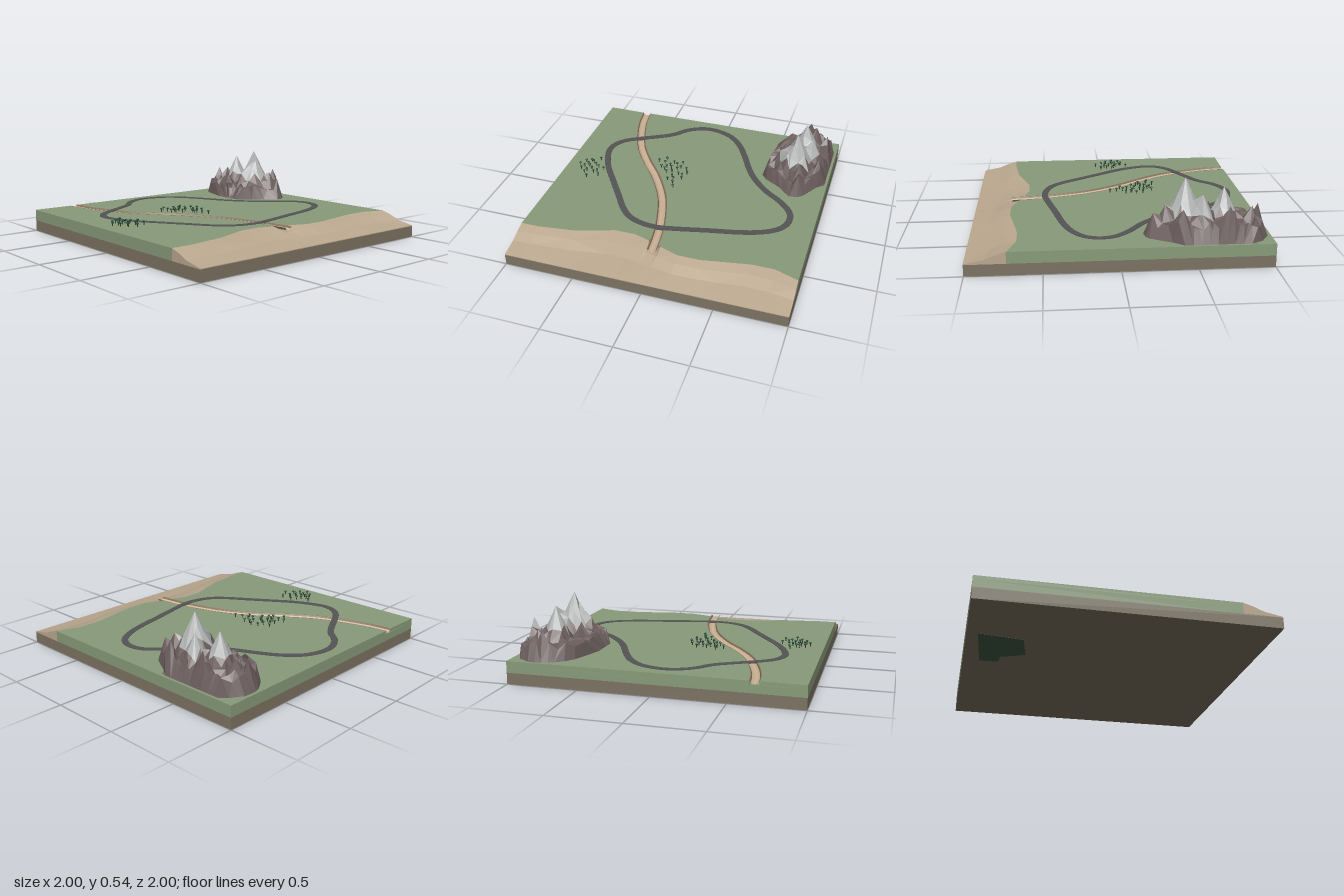
import * as THREE from 'three';

const mat = (color) => new THREE.MeshStandardMaterial({ color, flatShading: true, side: THREE.DoubleSide });
const MAT = {
  earth: mat(0x7c7362), grass: mat(0x879b79), sand: mat(0xbba88f), bank: mat(0x8a7460), bed: mat(0xcdb496),
  road: mat(0x565556), rock: mat(0x6e6160), snow: mat(0xb4b6b6), leaf: mat(0x1f4a38), trunk: mat(0x3a3a2c), patch: mat(0x3f5a43),
};
const GROUND = 0.16;

let seed = 7;
const rand = () => (seed = (seed * 16807) % 2147483647) / 2147483647;
const V = (x, y, z) => new THREE.Vector3(x, y, z);

function add(group, name, geometry, material) {
  const mesh = new THREE.Mesh(geometry, material);
  mesh.name = name;
  group.add(mesh);
  return mesh;
}

// Faceted geometry from a list of triangle corners
function facets(points) {
  const g = new THREE.BufferGeometry().setFromPoints(points);
  g.computeVertexNormals();
  return g;
}

// Triangles of a surface through rows of points
function skin(rows) {
  const out = [];
  for (let i = 0; i < rows.length - 1; i++) {
    for (let j = 0; j < rows[i].length - 1; j++) {
      const a = rows[i][j], b = rows[i + 1][j], c = rows[i + 1][j + 1], d = rows[i][j + 1];
      if ((i + j) % 2) out.push(a, b, c, a, c, d);
      else out.push(a, b, d, b, c, d);
    }
  }
  return out;
}

// Sweep a [sideways, height] section along a flat curve
function sweep(curve, steps, section) {
  const rows = [];
  for (let i = 0; i <= steps; i++) {
    const p = curve.getPointAt(i / steps), t = curve.getTangentAt(i / steps);
    rows.push(section.map(([s, y]) => V(Math.max(-1, p.x + t.z * s), y, p.z - t.x * s)));
  }
  return rows;
}

// Upright slab from an outline of [x, z] points
function slab(outline, y0, y1) {
  const shape = new THREE.Shape(outline.map(([x, z]) => new THREE.Vector2(x, -z)));
  const g = new THREE.ExtrudeGeometry(shape, { depth: y1 - y0, bevelEnabled: false });
  return g.rotateX(-Math.PI / 2).translate(0, y0, 0);
}

const path = (pts, closed) =>
  new THREE.CatmullRomCurve3(pts.map(([x, z]) => V(x, 0, z)), closed, 'centripetal');

// Shoreline, [x, z] from back to front
const SHORE = [[0.73, -1], [0.67, -0.83], [0.67, -0.67], [0.7, -0.5], [0.73, -0.33], [0.73, -0.17], [0.68, -0.03],
  [0.67, -0.01], [0.65, 0.05], [0.64, 0.07], [0.605, 0.18], [0.605, 0.33], [0.695, 0.6], [0.73, 0.87], [0.73, 1]];

const RIVER = path([[-1, 0.675], [-0.85, 0.655], [-0.65, 0.6], [-0.47, 0.53], [-0.28, 0.41], [-0.15, 0.31],
  [0, 0.215], [0.15, 0.14], [0.3, 0.09], [0.48, 0.045], [0.62, 0.025], [0.73, 0.015]], false);

const ROAD = path([[0.1, -0.815], [0.02, -0.79], [-0.08, -0.7], [-0.17, -0.58], [-0.3, -0.46], [-0.43, -0.38],
  [-0.6, -0.3], [-0.74, -0.22], [-0.85, -0.11], [-0.9, 0.04], [-0.89, 0.14], [-0.83, 0.25], [-0.73, 0.34],
  [-0.66, 0.45], [-0.59, 0.58], [-0.52, 0.69], [-0.45, 0.745], [-0.37, 0.765], [-0.27, 0.745], [-0.12, 0.68],
  [0.05, 0.57], [0.2, 0.47], [0.35, 0.37], [0.43, 0.29], [0.475, 0.18], [0.485, 0.06], [0.46, -0.08],
  [0.41, -0.3], [0.36, -0.53], [0.31, -0.67], [0.25, -0.76], [0.18, -0.805]], true);

function buildGround(group) {
  add(group, 'earthBase', new THREE.BoxGeometry(2, 0.079, 2).translate(0, 0.0405, 0), MAT.earth);
  add(group, 'undersidePatch', slab([[-0.62, 0.48], [-0.58, 0.24], [-0.75, 0.17], [-0.756, 0.085],
    [-0.886, 0.076], [-0.926, 0.52]], 0, 0.002), MAT.patch);

  // Grass: a full lower layer and two upper halves parted by the river
  add(group, 'grassLower', slab([[-1, -1], ...SHORE, [-1, 1]], 0.08, 0.135), MAT.grass);
  const edge = (s) => sweep(RIVER, 48, [[s, 0]]).map(([p]) => [p.x, p.z]).filter(([x]) => x < 0.64);
  add(group, 'grassBack', slab([[-1, -1], ...SHORE.filter(([, z]) => z < 0), ...edge(0.034).reverse()],
    0.135, GROUND), MAT.grass);
  add(group, 'grassFront', slab([...edge(-0.034), ...SHORE.filter(([, z]) => z > 0.06), [-1, 1]],
    0.135, GROUND), MAT.grass);

  // Beach sloping from the shoreline, dipping where the river crosses it
  const rows = SHORE.map(([x, z]) => {
    const top = [[0, GROUND], [0.25, 0.14], [0.52, 0.11], [1, 0.085], [1, 0.08]];
    const dip = z > -0.02 && z < 0.06 ? 0.134 : 1;
    return top.map(([u, y]) => V(x + (1 - x) * u, Math.min(y, dip), z));
  });
  const ends = [rows[0], rows[rows.length - 1]].flatMap((row) =>
    skin([row, row.map((p) => V(p.x, 0.08, p.z))]));
  add(group, 'beach', facets([...skin(rows), ...ends]), MAT.sand);
}

function buildRiverAndRoad(group) {
  add(group, 'riverBed', facets(skin(sweep(RIVER, 48,
    [[-0.026, 0.15], [-0.014, 0.141], [0.004, 0.138], [0.018, 0.145], [0.024, 0.15]]))), MAT.bed);
  add(group, 'riverBankFront', facets(skin(sweep(RIVER, 48, [[-0.036, 0.161], [-0.031, 0.161], [-0.026, 0.15]]))), MAT.bank);
  add(group, 'riverBankBack', facets(skin(sweep(RIVER, 48, [[0.024, 0.15], [0.03, 0.161], [0.036, 0.161]]))), MAT.bank);
  add(group, 'roadLoop', facets(skin(sweep(ROAD, 110,
    [[-0.023, 0.156], [-0.023, 0.164], [0.023, 0.164], [0.023, 0.156], [-0.023, 0.156]]))), MAT.road);
}

function buildMountains(group) {
  // Footprint: [z, left x, right x]
  const foot = [[-0.98, -0.87, -0.38], [-0.93, -0.93, -0.33], [-0.84, -0.98, -0.18], [-0.75, -0.98, -0.16],
    [-0.65, -0.93, -0.27], [-0.56, -0.8, -0.31], [-0.5, -0.6, -0.38]];
  // Peaks: [x, z, height]
  const peaks = [[-0.44, -0.74, 0.54], [-0.69, -0.77, 0.48], [-0.54, -0.84, 0.45], [-0.7, -0.93, 0.4],
    [-0.92, -0.77, 0.36], [-0.87, -0.82, 0.36], [-0.3, -0.79, 0.37], [-0.45, -0.61, 0.36], [-0.22, -0.8, 0.32],
    [-0.4, -0.92, 0.38], [-0.62, -0.62, 0.33]];
  const nz = 11, nx = 18, rows = [];
  for (let i = 0; i <= nz; i++) {
    const z = -0.98 + (0.48 * i) / nz;
    const k = Math.min(foot.length - 2, foot.findLastIndex((f) => f[0] <= z + 1e-6));
    const u = (z - foot[k][0]) / (foot[k + 1][0] - foot[k][0]);
    const left = THREE.MathUtils.lerp(foot[k][1], foot[k + 1][1], u);
    const right = THREE.MathUtils.lerp(foot[k][2], foot[k + 1][2], u);
    const row = [];
    for (let j = 0; j <= nx; j++) {
      const rim = i === 0 || i === nz || j === 0 || j === nx;
      const x = left + ((right - left) * j) / nx + (rim ? 0 : (rand() - 0.5) * 0.022);
      const zj = z + (i === 0 || i === nz ? 0 : (rand() - 0.5) * 0.022);
      let y = 0.22 + 0.07 * rand();
      for (const [px, pz, h] of peaks) y = Math.max(y, h - 2 * Math.hypot(x - px, zj - pz));
      row.push(V(x, rim ? GROUND : y, zj));
    }
    rows.push(row);
  }
  // Pull the nearest point onto each summit
  for (const [px, pz, h] of peaks) {
    const near = rows.slice(1, -1).flatMap((r) => r.slice(1, -1))
      .reduce((a, b) => (Math.hypot(b.x - px, b.z - pz) < Math.hypot(a.x - px, a.z - pz) ? b : a));
    near.set(px, h, pz);
  }
  // Split the faces into bare rock and snow
  const tris = skin(rows), rock = [], snow = [];
  for (let i = 0; i < tris.length; i += 3) {
    const t = tris.slice(i, i + 3);
    ((t[0].y + t[1].y + t[2].y) / 3 > 0.325 ? snow : rock).push(...t);
  }
  add(group, 'mountainRock', facets(rock), MAT.rock);
  add(group, 'mountainSnow', facets(snow), MAT.snow);
}

function buildTrees(group, name, spots) {
  const grove = new THREE.Group();
  grove.name = name;
  const crown = new THREE.IcosahedronGeometry(0.0105, 0).scale(1, 0.75, 1);
  const trunk = new THREE.CylinderGeometry(0.003, 0.004, 0.024, 5);
  for (const [x, z] of spots) {
    add(grove, 'treeTrunk', trunk, MAT.trunk).position.set(x, 0.17, z);
    const top = add(grove, 'treeCrown', crown, MAT.leaf);
    top.position.set(x, 0.184, z);
    top.rotation.y = rand() * 6;
  }
  group.add(grove);
}

export function createModel() {
  const group = new THREE.Group();
  group.name = 'landscape';
  buildGround(group);
  buildRiverAndRoad(group);
  buildMountains(group);
  buildTrees(group, 'groveBack', [[-0.21, 0.06], [-0.13, 0.08], [-0.01, 0.11], [-0.06, 0.13], [-0.26, 0.08],
    [-0.27, 0.13], [-0.33, 0.13], [-0.11, 0.14], [-0.18, 0.12], [-0.24, 0.15], [-0.3, 0.17], [-0.2, 0.18],
    [-0.14, 0.16], [-0.09, 0.18], [-0.25, 0.2], [-0.18, 0.22], [-0.25, 0.24], [-0.32, 0.2], [-0.35, 0.27],
    [-0.3, 0.27], [-0.24, 0.28], [-0.31, 0.32], [-0.28, 0.22], [-0.22, 0.25], [-0.17, 0.09]]);
  buildTrees(group, 'groveFront', [[-0.07, 0.7], [0.02, 0.71], [-0.03, 0.74], [-0.09, 0.75], [-0.01, 0.76],
    [-0.19, 0.77], [-0.11, 0.78], [-0.05, 0.79], [0.06, 0.79], [-0.14, 0.81], [-0.02, 0.82], [-0.08, 0.82],
    [-0.1, 0.84], [-0.07, 0.86], [0.01, 0.83], [-0.13, 0.87], [-0.03, 0.87], [-0.08, 0.9], [-0.15, 0.83]]);
  return group;
}
